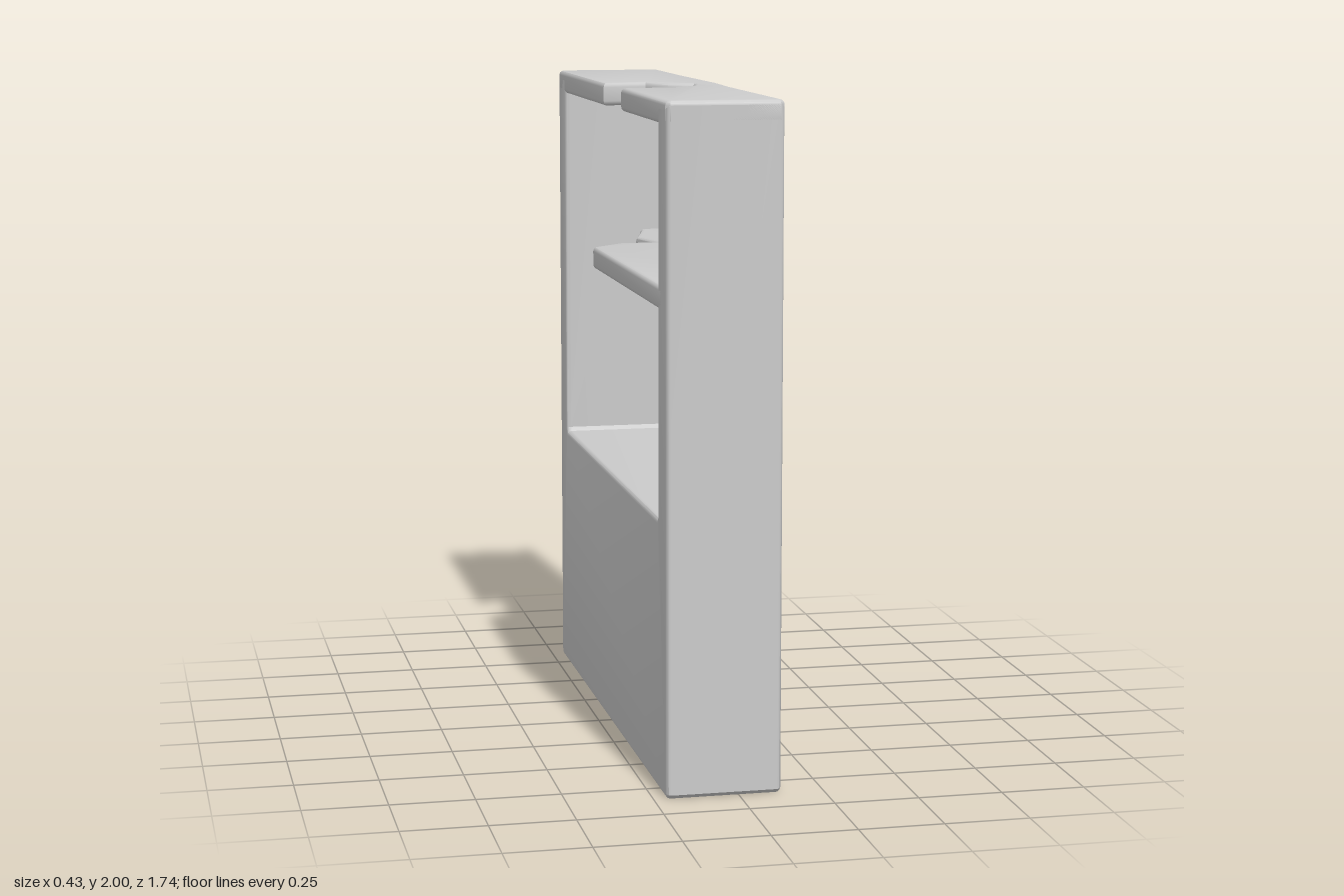
import * as THREE from 'three';
import { toCreasedNormals } from 'three/addons/utils/BufferGeometryUtils.js';

const BACK = -0.215, FRONT = 0.125, HALF = 0.87, INNER = 0.75, EDGE = 0.014;

function shapeOf(points) {
  return new THREE.Shape(points.map(([a, b]) => new THREE.Vector2(a, b)));
}

// Extrude between two levels, with the bevel kept inside the outline
function bevelled(points, from, to, size = EDGE, thickness = EDGE, segments = 3) {
  const geometry = new THREE.ExtrudeGeometry(shapeOf(points), {
    depth: to - from - 2 * thickness, bevelEnabled: true, bevelSize: size,
    bevelThickness: thickness, bevelOffset: -size, bevelSegments: segments,
  });
  return geometry.translate(0, 0, from + thickness);
}

export function createModel() {
  const group = new THREE.Group();
  const material = new THREE.MeshStandardMaterial({ color: 0xcccccc });

  const add = (name, geometry, parent = group) => {
    const mesh = new THREE.Mesh(geometry, material);
    mesh.name = name;
    parent.add(mesh);
    return mesh;
  };

  // Outline in the z-y plane, extruded along x
  const alongX = (points, ...args) => toCreasedNormals(bevelled(points, ...args).rotateY(Math.PI / 2), 0.6);

  // Plan outline given as [x, z], extruded upwards
  const slab = (plan, y0, y1) =>
    toCreasedNormals(bevelled(plan.map(([x, z]) => [x, -z]), y0, y1).rotateX(-Math.PI / 2), 0.6);

  // Solid base with the two side walls
  const c = 0.012;
  const wallTop = 2 - EDGE;
  const half = [
    [HALF - c, 0], [HALF, c], [HALF, wallTop], [INNER, wallTop],
    [INNER, 0.8 + c], [INNER - c, 0.8],
  ];
  const mirrored = half.map(([z, y]) => [-z, y]).reverse();
  add('baseAndSides', alongX([...half, ...mirrored], BACK, FRONT));

  // Top board with a jagged bite out of its back edge
  add('brokenTop', slab([
    [BACK, -HALF + c], [BACK + c, -HALF], [FRONT - c, -HALF], [FRONT, -HALF + c],
    [FRONT, -0.45], [FRONT + 0.009, 0], [FRONT, 0.2],
    [FRONT, HALF - c], [FRONT - c, HALF], [BACK + c, HALF], [BACK, HALF - c],
    [BACK, 0.22], [-0.06, 0.21], [0.015, 0.135], [0.035, 0.09], [0.05, 0.005],
    [-0.02, -0.03], [-0.075, -0.105], [BACK, -0.06],
  ], 1.93, 2));

  // Shelf broken away towards one side wall
  add('brokenShelf', slab([
    [0.04, -INNER - 0.04], [FRONT, -INNER - 0.04], [FRONT, INNER + 0.04],
    [BACK, INNER + 0.04], [BACK, -0.25], [-0.11, -0.35], [0.02, -0.345],
    [-0.025, -0.51], [0.035, -0.73],
  ], 1.405, 1.475));

  // Four drawers with sloped borders and round knobs
  const w = 0.312, h = 0.148, r = 0.008;
  const panel = alongX([
    [-w + r, -h], [w - r, -h], [w, -h + r], [w, h - r],
    [w - r, h], [-w + r, h], [-w, h - r], [-w, -h + r],
  ], 0.08, 0.17, 0.04, 0.024, 1);
  const knob = new THREE.SphereGeometry(0.036, 24, 16).scale(0.58, 1, 1);
  const stem = new THREE.CylinderGeometry(0.012, 0.012, 0.04, 12).rotateZ(Math.PI / 2);

  for (const y of [0.255, 0.605]) {
    for (const z of [-0.375, 0.375]) {
      const drawer = new THREE.Group();
      drawer.name = 'drawer';
      drawer.position.set(0, y, z);
      add('drawerFront', panel, drawer);
      add('knob', knob, drawer).position.x = 0.194;
      add('knobStem', stem, drawer).position.x = 0.175;
      group.add(drawer);
    }
  }

  return group;
}
